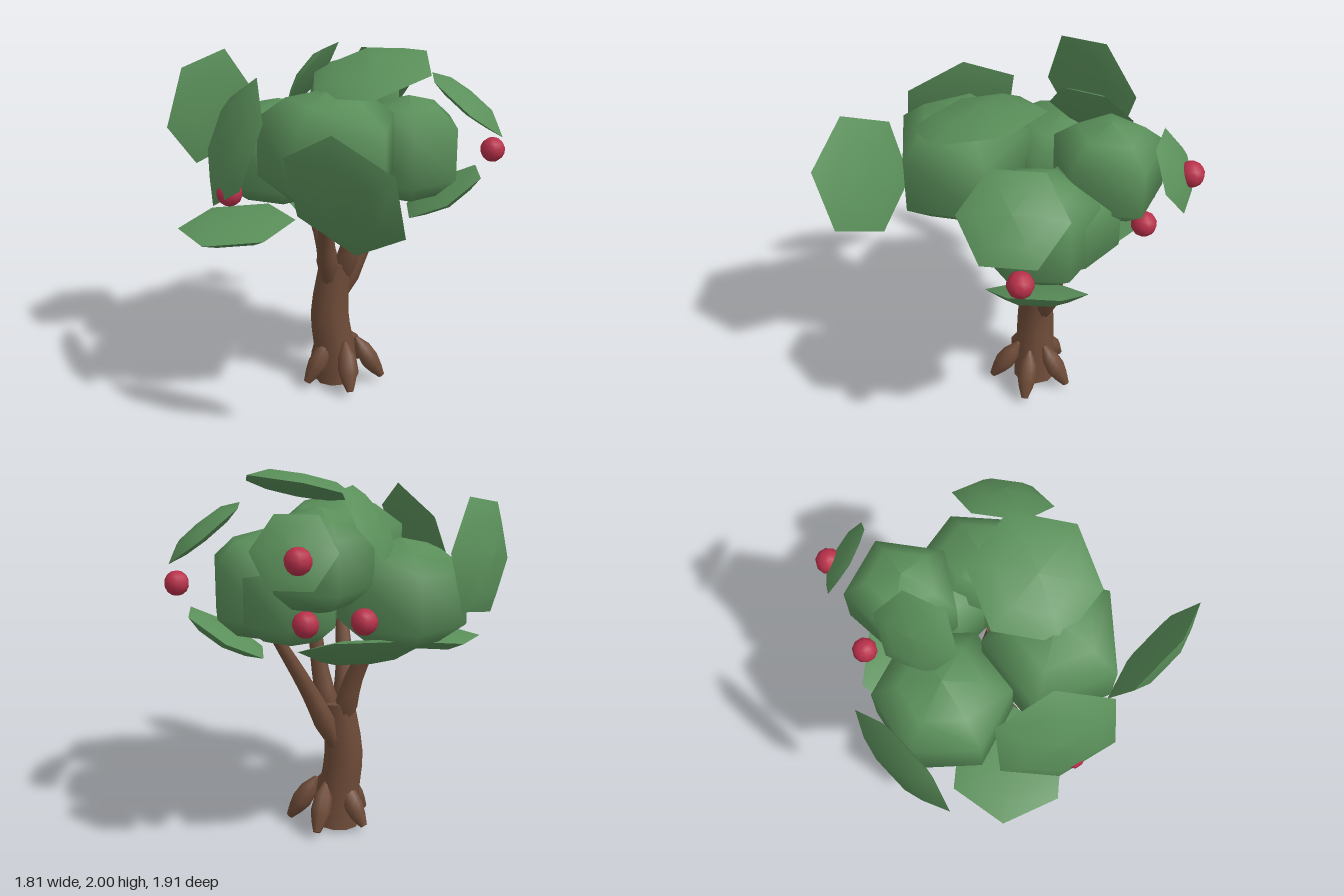
import * as THREE from 'three';
import { mergeGeometries, toCreasedNormals } from 'three/addons/utils/BufferGeometryUtils.js';

const UP = new THREE.Vector3(0, 1, 0);
const v = (a) => new THREE.Vector3(...a);

// Tapered, capped limb along a curve that runs upward
function limbGeometry(points, radii, sides, steps) {
  const curve = new THREE.CatmullRomCurve3(points.map(v));
  const pos = [], idx = [];
  const ring = (t, r) => {
    const c = curve.getPoint(t);
    const q = new THREE.Quaternion().setFromUnitVectors(UP, curve.getTangent(t));
    for (let j = 0; j < sides; j++) {
      const a = (j / sides) * Math.PI * 2;
      const p = new THREE.Vector3(Math.sin(a) * r, 0, Math.cos(a) * r).applyQuaternion(q).add(c);
      pos.push(p.x, p.y, p.z);
    }
  };
  for (let i = 0; i <= steps; i++) {
    const t = i / steps, f = t * (radii.length - 1);
    const k = Math.min(Math.floor(f), radii.length - 2);
    ring(t, THREE.MathUtils.lerp(radii[k], radii[k + 1], f - k));
  }
  for (let i = 0; i < steps; i++) for (let j = 0; j < sides; j++) {
    const a = i * sides + j, b = i * sides + (j + 1) % sides;
    idx.push(a, b, b + sides, a, b + sides, a + sides);
  }
  // End caps
  for (const [t, base, flip] of [[0, 0, true], [1, steps * sides, false]]) {
    const c = curve.getPoint(t), n = pos.length / 3;
    pos.push(c.x, c.y, c.z);
    for (let j = 0; j < sides; j++) {
      const a = base + j, b = base + (j + 1) % sides;
      if (flip) idx.push(n, b, a); else idx.push(n, a, b);
    }
  }
  const g = new THREE.BufferGeometry();
  g.setAttribute('position', new THREE.Float32BufferAttribute(pos, 3));
  g.setIndex(idx);
  return toCreasedNormals(g, 0.9);
}

const lathe = (pts, sides, start = 0) =>
  new THREE.LatheGeometry(pts.map(([x, y]) => new THREE.Vector2(x, y)), sides, start);

export function createModel() {
  const tree = new THREE.Group();
  tree.name = 'fruitTree';
  const bark = new THREE.MeshStandardMaterial({ name: 'barkBrown', color: 0x6e4b38 });
  const green = new THREE.MeshStandardMaterial({ name: 'leafGreen', color: 0x5a8f5a });
  const red = new THREE.MeshStandardMaterial({ name: 'fruitRed', color: 0xb8304a });

  const add = (name, geometry, material) => {
    const m = new THREE.Mesh(geometry, material);
    m.name = name;
    tree.add(m);
    return m;
  };

  // Bent trunk
  add('trunk', limbGeometry(
    [[0, 0.015, -0.08], [-0.016, 0.2, -0.075], [-0.043, 0.43, -0.07], [-0.012, 0.75, -0.09]],
    [0.13, 0.118, 0.11, 0.09], 10, 9), bark);

  // Branches growing out of the trunk into the crown
  const branches = [
    [[-0.03, 0.58, -0.1], [-0.11, 0.9, -0.14], [-0.28, 1.25, -0.19]],
    [[-0.035, 0.62, -0.03], [-0.03, 0.92, 0.06], [0.03, 1.35, 0.24]],
    [[-0.02, 0.46, -0.12], [0.12, 0.82, -0.215], [0.32, 1.25, -0.37]],
    [[0.01, 0.6, -0.09], [0.085, 0.9, -0.07], [0.135, 1.28, -0.04]],
  ];
  for (const p of branches) {
    add('branch', limbGeometry(p, [0.03, 0.062, 0.05, 0.039, 0.026], 8, 8), bark);
  }

  // Five swelling roots around the foot
  for (let i = 0; i < 5; i++) {
    const a = (i / 5) * Math.PI * 2 + 0.13;
    const at = (r, y) => [0.032 + Math.cos(a) * r, y, -0.07 - Math.sin(a) * r];
    add('root', limbGeometry([at(0.235, 0.04), at(0.165, 0.14), at(0.08, 0.28)],
      [0.02, 0.042, 0.057, 0.05, 0.012], 8, 8), bark);
  }

  // Rounded crown clumps: centre, half sizes, sides, turn
  const profile = [[0, -1], [0.6, -0.83], [1, -0.48], [1, 0.48], [0.6, 0.83], [0, 1]];
  const clumps = [
    [[0.06, 1.52, 0.32], [0.38, 0.32, 0.36], 5, -1.47],
    [[-0.35, 1.37, -0.12], [0.36, 0.3, 0.36], 6, 0.4],
    [[0.37, 1.41, -0.2], [0.29, 0.3, 0.31], 6, 0.3],
    [[0.2, 1.37, -0.31], [0.27, 0.26, 0.27], 6, 0.1],
    [[0.03, 1.6, -0.47], [0.28, 0.27, 0.3], 5, -0.1],
  ];
  for (const [p, s, sides, turn] of clumps) {
    const m = add('leafClump', lathe(profile, sides, turn), green);
    m.position.set(...p);
    m.scale.set(...s);
  }

  // Domed hexagonal leaf plates: centre, outward direction, radius, spin
  const plate = mergeGeometries([
    lathe([[1, -0.04], [0.62, 0.14], [0, 0.19]], 6),
    lathe([[0, -0.14], [0.6, -0.13], [1, -0.04]], 6),
  ]);
  const plates = [
    [[0.23, 1.9, 0.15], [-0.15, 0.95, 0.22], 0.345, 0.3],
    [[0.25, 1.43, 0.82], [-0.28, -0.33, 0.9], 0.345, 0.52],
    [[-0.78, 1.59, -0.17], [-0.9, 0.05, -0.42], 0.335, -0.18],
    [[-0.4, 1.58, 0.5], [-0.75, 0.35, 0.52], 0.345, 0.52],
    [[-0.47, 1.045, 0.28], [0.06, -1, -0.06], 0.32, 0],
    [[-0.21, 1.78, -0.31], [-0.82, 0.55, -0.1], 0.235, 0],
    [[0.09, 1.7, -0.82], [0, 0.45, -0.9], 0.215, 0],
    [[0.695, 1.69, -0.18], [0.6, 0.78, -0.12], 0.27, 0],
    [[0.57, 1.15, -0.26], [0.5, -0.85, -0.12], 0.26, 0],
    [[-0.16, 1.11, -0.39], [-0.1, -0.9, -0.36], 0.31, 0],
  ];
  for (const [p, n, r, spin] of plates) {
    const m = add('leafPlate', plate, green);
    m.position.set(...p);
    m.quaternion.setFromUnitVectors(UP, v(n).normalize());
    m.rotateY(Math.atan2(n[2], -n[0]) + spin);
    m.scale.setScalar(r);
  }

  // Round fruit
  const fruit = new THREE.SphereGeometry(0.068, 10, 7);
  const fruits = [[0.83, 1.42, -0.26], [-0.39, 1.34, 0.59], [0.055, 1.67, -0.89],
    [-0.22, 1.33, -0.62], [0.06, 1.32, -0.68]];
  for (const p of fruits) add('fruit', fruit, red).position.set(...p);

  return tree;
}
